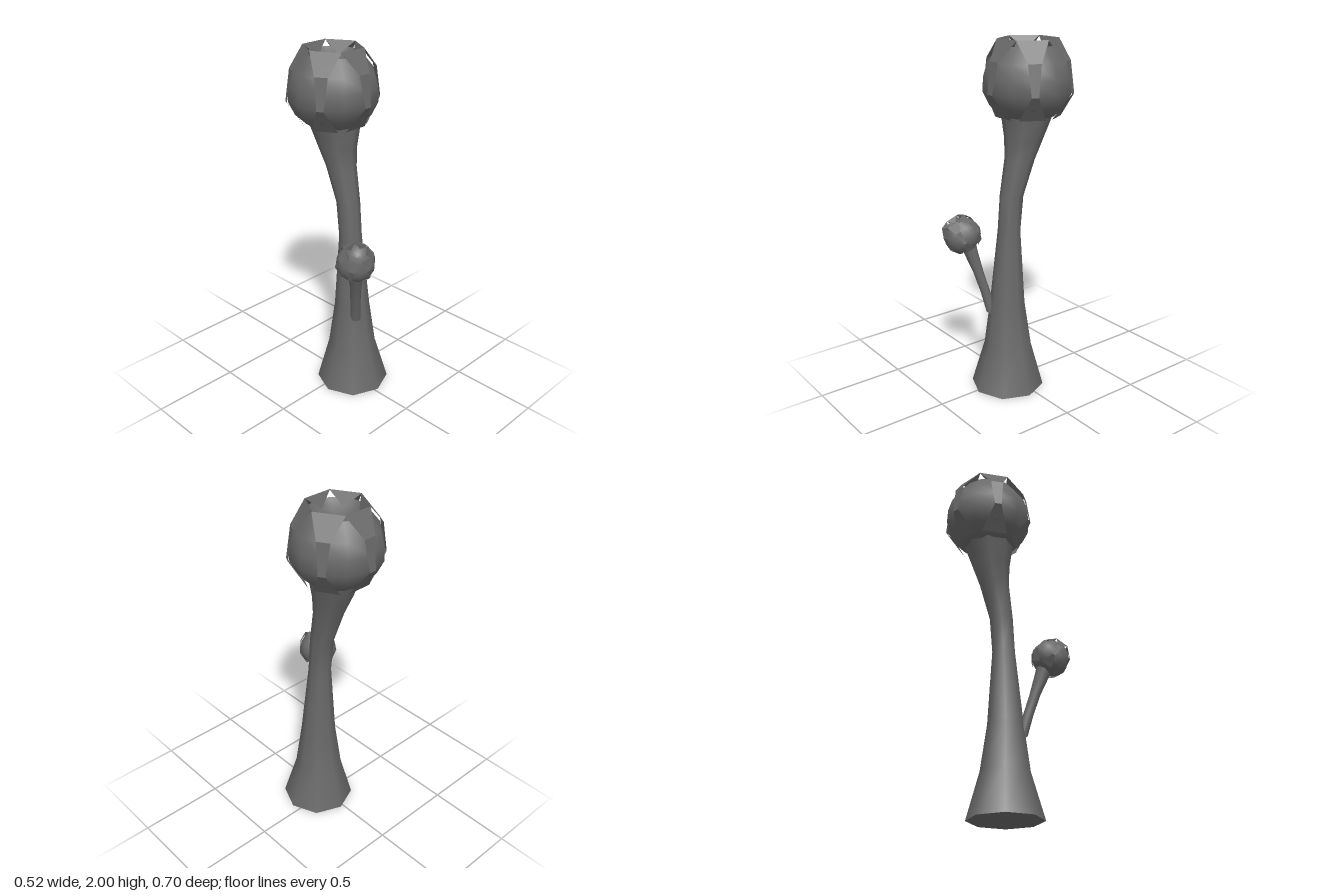
import * as THREE from 'three';

const grey = new THREE.MeshStandardMaterial({ color: 0x696969, side: THREE.DoubleSide });
grey.name = 'stone grey';

function addMesh(parent, name, geometry) {
  const mesh = new THREE.Mesh(geometry, grey);
  mesh.name = name;
  parent.add(mesh);
  return mesh;
}

// Smooth eight-sided stalk lofted through level rings [x, y, z, radius]
function stalkGeometry(rings, sides = 8) {
  const pos = [], index = [];
  rings.forEach(([x, y, z, r], i) => {
    for (let k = 0; k < sides; k++) {
      const a = (k / sides) * Math.PI * 2;
      pos.push(x + r * Math.sin(a), y, z + r * Math.cos(a));
      if (i === 0) continue;
      const n = (k + 1) % sides, lo = (i - 1) * sides, hi = i * sides;
      index.push(lo + k, lo + n, hi + n, lo + k, hi + n, hi + k);
    }
  });
  const g = new THREE.BufferGeometry();
  g.setAttribute('position', new THREE.Float32BufferAttribute(pos, 3));
  g.setIndex(index);
  g.computeVertexNormals();
  return g;
}

// Petal outline rows [distance from axis, height, half width], from hanging end to folded tip
const petalRows = [
  [0.165, -0.135, 0.072], [0.256, 0, 0.019], [0.228, 0.17, 0.036],
  [0.143, 0.28, 0.0855], [0.11, 0.21, 0],
];

function petalGeometry() {
  const pos = [];
  for (let i = 0; i < petalRows.length - 1; i++) {
    const [u0, y0, w0] = petalRows[i], [u1, y1, w1] = petalRows[i + 1];
    pos.push(-w0, y0, u0, w0, y0, u0, w1, y1, u1);
    if (w1 > 0) pos.push(-w0, y0, u0, w1, y1, u1, -w1, y1, u1);
  }
  const g = new THREE.BufferGeometry();
  g.setAttribute('position', new THREE.Float32BufferAttribute(pos, 3));
  g.computeVertexNormals();
  return g;
}

// Round bud with a dished top, wrapped in six crossing petals
function createBud(name) {
  const bud = new THREE.Group();
  bud.name = name;
  const outer = [[0.1, -0.15], [0.15, -0.13], [0.21, -0.075], [0.247, 0], [0.243, 0.08],
    [0.219, 0.16], [0.15, 0.245]];
  const dish = [[0.15, 0.245], [0.105, 0.2], [0.05, 0.178], [0, 0.17]];
  const lathe = (pts) => new THREE.LatheGeometry(pts.map(([r, y]) => new THREE.Vector2(r, y)), 12);
  addMesh(bud, 'budBody', lathe([[0, -0.15], ...outer]));
  addMesh(bud, 'budDish', lathe(dish));
  const petal = petalGeometry();
  for (let i = 0; i < 6; i++) addMesh(bud, 'petal', petal).rotation.y = (i * Math.PI) / 3;
  return bud;
}

export function createModel() {
  const model = new THREE.Group();
  model.name = 'buddingStalk';

  // Main stalk, leaning back towards the top
  addMesh(model, 'mainStalk', stalkGeometry([
    [0.02, 0, 0.05, 0.21], [0.018, 0.26, 0.046, 0.136], [0.016, 0.52, 0.047, 0.1],
    [0.015, 0.95, 0.033, 0.064], [0.015, 1.15, 0.015, 0.066],
    [0.016, 1.35, -0.04, 0.084], [0.015, 1.46, -0.068, 0.107], [0.015, 1.61, -0.092, 0.147],
  ]));
  const foot = addMesh(model, 'stalkFoot', new THREE.CircleGeometry(0.21, 8));
  foot.rotation.x = Math.PI / 2;
  foot.position.set(0.02, 0, 0.05);

  // Large bud on top
  const topBud = createBud('topBud');
  topBud.position.set(0.014, 1.72, -0.098);
  model.add(topBud);

  // Side shoot with a small tilted bud
  addMesh(model, 'sideStalk', stalkGeometry([
    [-0.035, 0.46, 0.125, 0.029], [-0.06, 0.58, 0.147, 0.029], [-0.088, 0.7, 0.175, 0.031],
    [-0.12, 0.82, 0.205, 0.043], [-0.135, 0.87, 0.218, 0.052],
  ]));
  const sideBud = createBud('sideBud');
  sideBud.scale.setScalar(0.43);
  sideBud.position.set(-0.147, 0.898, 0.226);
  sideBud.quaternion.setFromUnitVectors(
    new THREE.Vector3(0, 1, 0), new THREE.Vector3(-0.3, 0.85, 0.46).normalize());
  model.add(sideBud);

  return model;
}
